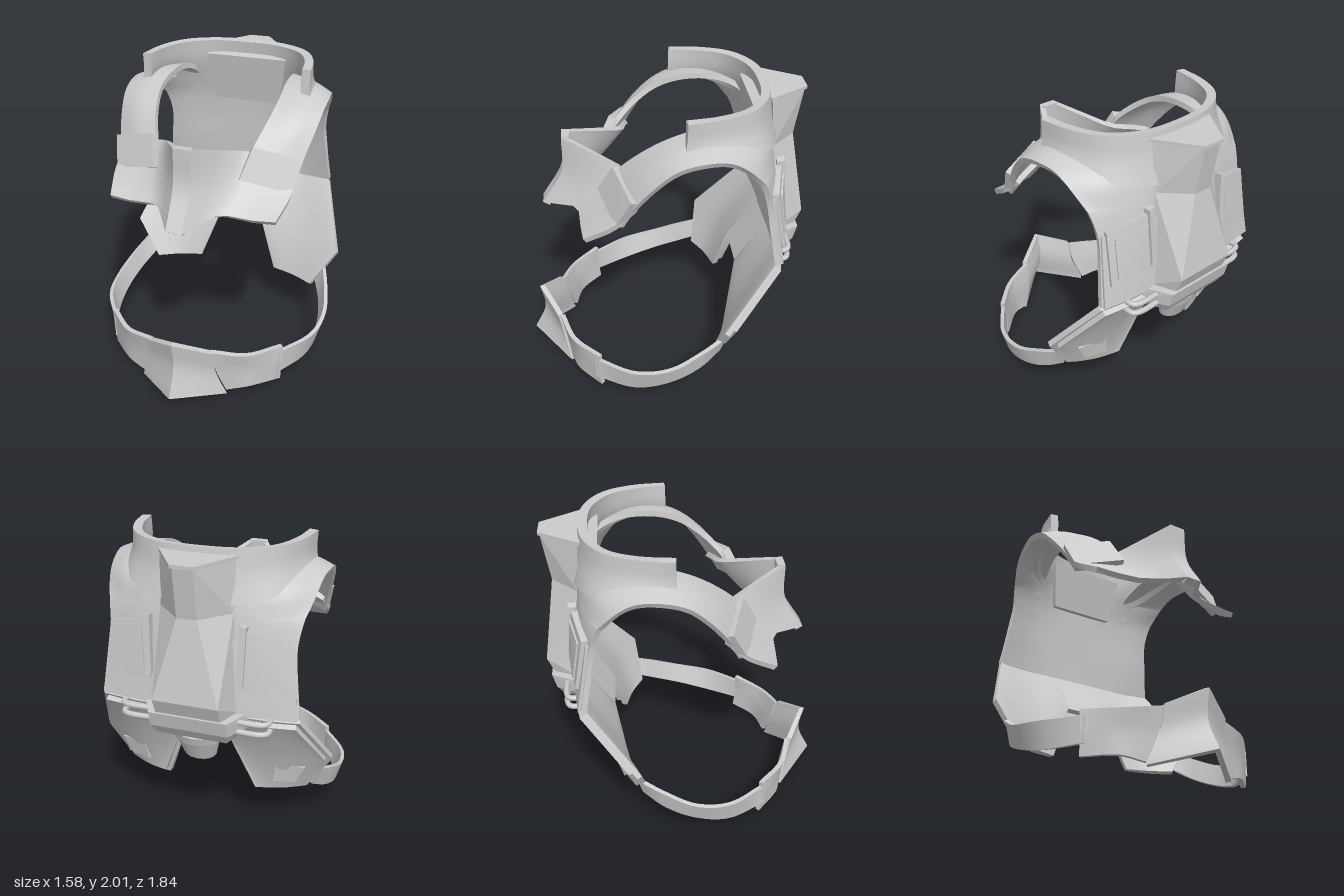
import * as THREE from 'three';
import { toCreasedNormals } from 'three/addons/utils/BufferGeometryUtils.js';
import { ConvexGeometry } from 'three/addons/geometries/ConvexGeometry.js';

const material = new THREE.MeshStandardMaterial({ color: 0xcccccc });
const V = (p) => new THREE.Vector3(...p);

// resample a row of points along a smooth curve (n = 0 keeps the points)
const resample = (pts, n) => (n ? new THREE.CatmullRomCurve3(pts).getPoints(n) : pts);

// solid plate: a grid of points (rows of columns), thickened by t along its normals
function plate(grid, t, nu = 0, nv = 0) {
  const rows = grid.map((r) => resample(r.map(V), nu));
  const cols = rows[0].map((_, i) => resample(rows.map((r) => r[i]), nv));
  const C = cols.length, R = cols[0].length, N = C * R;
  const pos = [], index = [];
  for (let j = 0; j < R; j++) for (let i = 0; i < C; i++) pos.push(...cols[i][j].toArray());
  const quad = (a, b, c, d) => (t > 0 ? index.push(a, b, c, a, c, d) : index.push(a, c, b, a, d, c));
  const at = (i, j) => j * C + i;
  for (let j = 0; j < R - 1; j++) for (let i = 0; i < C - 1; i++)
    quad(at(i, j), at(i + 1, j), at(i + 1, j + 1), at(i, j + 1));
  const face = new THREE.BufferGeometry();
  face.setAttribute('position', new THREE.Float32BufferAttribute(pos, 3));
  face.setIndex([...index]);
  face.computeVertexNormals();
  const nrm = face.attributes.normal.array, all = [...pos];
  for (let k = 0; k < pos.length; k++) all.push(pos[k] + nrm[k] * Math.abs(t));
  const outer = index.map((k) => k + N);
  for (let k = 0; k < index.length; k += 3) [index[k], index[k + 1]] = [index[k + 1], index[k]];
  index.push(...outer);
  // side walls
  const wall = (a, b) => quad(a, b, b + N, a + N);
  for (let i = 0; i < C - 1; i++) { wall(at(i, 0), at(i + 1, 0)); wall(at(i + 1, R - 1), at(i, R - 1)); }
  for (let j = 0; j < R - 1; j++) { wall(at(0, j + 1), at(0, j)); wall(at(C - 1, j), at(C - 1, j + 1)); }
  const g = new THREE.BufferGeometry();
  g.setAttribute('position', new THREE.Float32BufferAttribute(all, 3));
  g.setIndex(index);
  return toCreasedNormals(g, 0.6);
}

const flip = (grid) => grid.map((r) => r.map(([x, y, z]) => [-x, y, z]));
// complete a row given from the centre outwards
const sym = (grid) => grid.map((r) => [...r.slice(1).reverse().map(([x, y, z]) => [-x, y, z]), ...r]);
const pair = (grid) => grid.map((r) => [[-r[0][0], r[0][1], r[0][2]], r[0]]);
// shrink a grid about its middle and shift it in z
function inset(grid, s, dz) {
  const pts = grid.flat(), c = [0, 1, 2].map((k) => pts.reduce((a, p) => a + p[k], 0) / pts.length);
  return grid.map((r) => r.map((p) => p.map((v, k) => c[k] + (v - c[k]) * s + (k === 2 ? dz : 0))));
}

export function createModel() {
  const model = new THREE.Group();
  const add = (name, geometry) => {
    const mesh = new THREE.Mesh(geometry, material);
    mesh.name = name;
    model.add(mesh);
    return mesh;
  };
  const both = (name, grid, t, nu, nv) => {
    add(name + 'Left', plate(grid, t, nu, nv));
    add(name + 'Right', plate(flip(grid), -t, nu, nv));
  };

  // back shell, rising to the neck
  add('backShell', plate(sym([
    [[0, 1.03, -0.69], [0.35, 1.03, -0.69], [0.62, 1.03, -0.66]],
    [[0, 1.25, -0.68], [0.33, 1.25, -0.67], [0.59, 1.25, -0.62]],
    [[0, 1.45, -0.67], [0.33, 1.45, -0.655], [0.57, 1.45, -0.585]],
    [[0, 1.6, -0.66], [0.33, 1.61, -0.63], [0.59, 1.6, -0.53]],
    [[0, 1.75, -0.65], [0.34, 1.76, -0.58], [0.62, 1.71, -0.43]],
  ]), -0.035, 24, 20));

  // lower back and hip wings with raised outer panels
  add('lowerBack', plate(pair([[[0.155, 1.03, -0.69]], [[0.155, 0.73, -0.5]]]), 0.035));
  const wing = [
    [[0.155, 1.03, -0.69], [0.4, 1.03, -0.69], [0.62, 1.03, -0.66]],
    [[0.155, 0.73, -0.5], [0.48, 0.68, -0.48], [0.77, 0.62, -0.345]],
    [[0.29, 0.345, -0.43], [0.45, 0.345, -0.38], [0.6, 0.345, -0.3]],
  ];
  both('hipWing', wing, 0.035, 10, 0);
  both('hipPanel', inset(wing, 0.9, -0.035), 0.035, 10, 0);
  both('hipWedge', [
    [[0.44, 0.6, -0.51], [0.62, 0.57, -0.455]],
    [[0.42, 0.45, -0.49], [0.56, 0.44, -0.44]],
  ], 0.02);

  // upper rear plates with framed pads and an inner rail
  both('rearPlate', [
    [[0.22, 1.5, -0.69], [0.565, 1.47, -0.61]],
    [[0.22, 1.03, -0.73], [0.61, 1.03, -0.69]],
  ], 0.025);
  const pad = [
    [[0.29, 1.56, -0.685], [0.545, 1.5, -0.62]],
    [[0.27, 1.2, -0.715], [0.56, 1.17, -0.68]],
  ];
  both('rearPad', pad, 0.04);
  both('rearPadInsert', inset(pad, 0.75, -0.035), 0.02);
  both('rearRail', [
    [[0.27, 1.6, -0.69], [0.31, 1.59, -0.69]],
    [[0.26, 1.23, -0.72], [0.3, 1.22, -0.72]],
  ], 0.05);

  // collar flaring into the shoulders, and neck panel
  add('collar', plate(sym([
    [[0, 1.68, -0.655], [0.22, 1.69, -0.64], [0.43, 1.73, -0.53], [0.515, 1.79, -0.31], [0.515, 1.8, -0.1]],
    [[0, 1.86, -0.62], [0.22, 1.86, -0.595], [0.4, 1.87, -0.485], [0.485, 1.88, -0.3], [0.505, 1.89, -0.1]],
    [[0, 2, -0.6], [0.22, 2, -0.575], [0.39, 2, -0.47], [0.475, 2, -0.3], [0.51, 2, -0.1]],
  ]), -0.055, 40, 8));
  add('neckPanel', plate(pair([[[0.285, 1.91, -0.545]], [[0.235, 1.58, -0.61]]]), 0.06));

  // shoulder straps, growing out of the back shell, and their buckles
  both('shoulderStrap', [
    [[0.36, 1.6, -0.622], [0.48, 1.6, -0.585], [0.59, 1.6, -0.53]],
    [[0.35, 1.75, -0.575], [0.5, 1.735, -0.515], [0.62, 1.71, -0.43]],
    [[0.37, 1.83, -0.42], [0.51, 1.81, -0.38], [0.64, 1.765, -0.33]],
    [[0.385, 1.84, -0.2], [0.53, 1.825, -0.2], [0.66, 1.775, -0.2]],
    [[0.39, 1.79, -0.02], [0.53, 1.775, -0.03], [0.655, 1.735, -0.06]],
    [[0.36, 1.695, 0.13], [0.51, 1.68, 0.1], [0.63, 1.64, 0.05]],
    [[0.31, 1.575, 0.255], [0.46, 1.55, 0.215], [0.595, 1.51, 0.155]],
    [[0.28, 1.45, 0.34], [0.42, 1.42, 0.3], [0.56, 1.38, 0.24]],
  ], -0.036, 8, 35);
  both('strapBuckle', [
    [[0.31, 1.6, 0.265], [0.6, 1.52, 0.17]],
    [[0.26, 1.42, 0.36], [0.56, 1.335, 0.265]],
  ], -0.058);

  // chest plate: flat central ridge with concave wings
  const chest = [
    [[0.055, 1.68, 0.62], [0.15, 1.63, 0.455], [0.245, 1.58, 0.29],
      [0.3, 1.56, 0.245], [0.43, 1.52, 0.225], [0.57, 1.47, 0.2]],
    [[0.055, 1.44, 0.635], [0.14, 1.42, 0.53], [0.23, 1.4, 0.43],
      [0.3, 1.39, 0.385], [0.43, 1.375, 0.365], [0.585, 1.36, 0.33]],
    [[0.052, 1.21, 0.77], [0.12, 1.23, 0.66], [0.185, 1.255, 0.57],
      [0.25, 1.255, 0.535], [0.4, 1.245, 0.525], [0.54, 1.25, 0.51]],
  ];
  both('chestWing', chest, 0.035, 0, 12);
  add('chestRidge', plate(pair(chest), 0.05, 0, 12));

  // waist belt
  both('beltStrap', [
    [[0.63, 0.37, -0.33], [0.67, 0.51, -0.36]],
    [[0.695, 0.28, -0.19], [0.725, 0.43, -0.2]],
    [[0.725, 0.2, 0], [0.767, 0.345, 0]],
    [[0.695, 0.14, 0.22], [0.735, 0.305, 0.22]],
    [[0.57, 0.13, 0.47], [0.57, 0.29, 0.47]],
  ], 0.025, 0, 28);

  // front buckle: pointed centre and curved side plates
  add('buckleCentre', plate(sym([
    [[0, 0.46, 0.86], [0.22, 0.36, 0.73]],
    [[0, 0.28, 0.835], [0.235, 0.2, 0.7]],
    [[0, 0.085, 0.92], [0.3, 0.01, 0.66]],
  ]), 0.035, 0, 12));
  both('buckleSide', [
    [[0.21, 0.355, 0.715], [0.42, 0.325, 0.635], [0.61, 0.33, 0.46]],
    [[0.23, 0.2, 0.685], [0.43, 0.2, 0.605], [0.605, 0.2, 0.465]],
    [[0.29, 0.03, 0.65], [0.43, 0.06, 0.6], [0.6, 0.06, 0.45]],
  ], 0.03, 10, 10);

  // spine tower: trapezoid sections [y, half back, z back, half front, z front]
  const section = ([y, b, zb, f, zf]) => [[b, y, zb], [-b, y, zb], [f, y, zf], [-f, y, zf]].map(V);
  const hull = (name, ...s) => add(name, new ConvexGeometry(s.flatMap(section)));
  const tower = [
    [1.96, 0.06, -0.885, 0.225, -0.65],
    [1.65, 0.06, -0.84, 0.22, -0.68],
    [1.15, 0.2, -0.915, 0.26, -0.7],
    [1.04, 0.2, -0.87, 0.27, -0.71],
  ];
  for (let i = 0; i < 3; i++) hull('spineTower' + (i + 1), tower[i], tower[i + 1]);
  hull('spineCap', [1.975, 0.07, -0.895, 0.235, -0.64], [1.955, 0.07, -0.895, 0.235, -0.64]);
  hull('spineBase', [1.05, 0.24, -0.89, 0.33, -0.71], [0.95, 0.24, -0.865, 0.33, -0.7],
    [0.88, 0.22, -0.82, 0.28, -0.66]);

  // nozzle under the spine
  const nozzle = new THREE.Group();
  nozzle.name = 'nozzle';
  [[0.155, 0.15, 0.06, 0.06], [0.145, 0.105, 0.16, -0.035]].forEach(([a, b, h, y], i) => {
    const g = toCreasedNormals(new THREE.CylinderGeometry(a, b, h, 16).scale(1, 1, 0.62), 0.6);
    const m = new THREE.Mesh(g, material);
    m.name = i ? 'nozzleBody' : 'nozzleFlange';
    m.position.y = y;
    nozzle.add(m);
  });
  nozzle.position.set(0, 0.8, -0.695);
  nozzle.rotation.x = -0.26;
  model.add(nozzle);

  // paired pipes from the spine base into the back
  for (const s of [1, -1]) for (const y of [0.955, 1.02]) {
    const path = [[0.24, y, -0.79], [0.41, y, -0.79], [0.45, y, -0.77], [0.455, y, -0.68]];
    const curve = new THREE.CatmullRomCurve3(path.map(([x, b, z]) => V([x * s, b, z])));
    add('pipe', new THREE.TubeGeometry(curve, 16, 0.018, 8));
  }
  return model;
}
